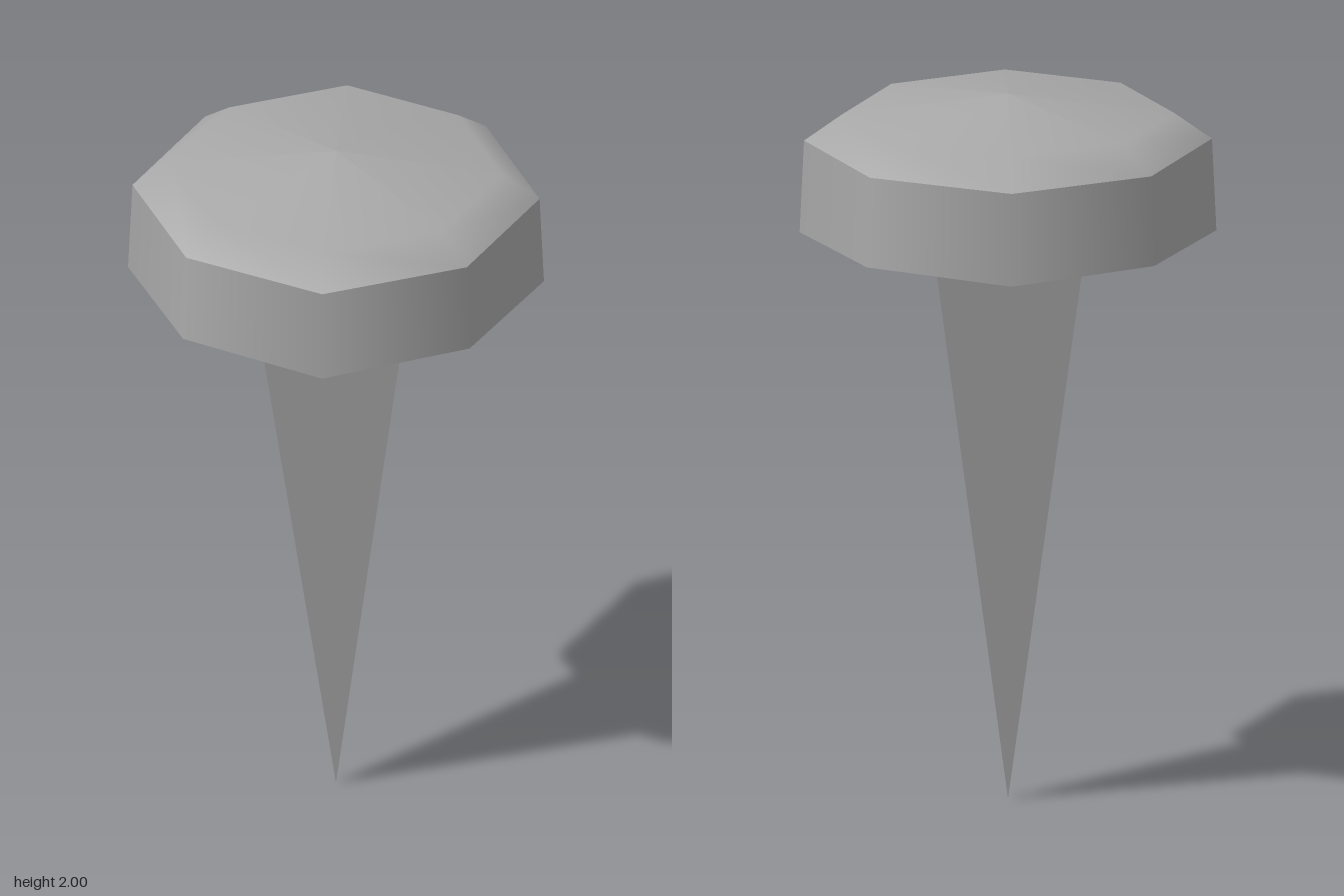
import * as THREE from 'three';

const steel = new THREE.MeshStandardMaterial({ color: 0xa8a8a8 });
steel.name = 'grey steel';

// Octagonal ring part turned from a profile of [radius, y] points, bottom to top
function turned(name, profile, flat = false) {
  let geo = new THREE.LatheGeometry(profile.map(([r, y]) => new THREE.Vector2(r, y)), 8);
  const p = geo.attributes.position;
  for (let i = 0; i < p.count; i++) {
    const x = p.getX(i), y = p.getY(i), z = p.getZ(i);
    // diagonal corners sit slightly further in, and higher along the lower rim
    if (Math.abs(x) > 0.05 && Math.abs(z) > 0.05) {
      p.setXYZ(i, x * 0.975, y < 1.7 ? y + 0.008 : y, z * 0.975);
    }
  }
  if (flat) {
    geo = geo.toNonIndexed();
    geo.computeVertexNormals();
  }
  const mesh = new THREE.Mesh(geo, steel);
  mesh.name = name;
  return mesh;
}

export function createModel() {
  const model = new THREE.Group();
  model.name = 'nail';

  // Head: shallow underside, near-vertical wall, bevelled crown
  const head = new THREE.Group();
  head.name = 'head';
  head.add(
    turned('headUnderside', [[0, 1.577], [0.57, 1.61]], true),
    turned('headWall', [[0.57, 1.61], [0.558, 1.87]]),
    turned('headCrown', [[0.558, 1.87], [0.455, 1.943], [0, 2]])
  );
  model.add(head);

  // Spike: square pyramid, point down
  const height = 1.61;
  let spikeGeo = new THREE.CylinderGeometry(0.207 * Math.SQRT2, 0, height, 4, 1, true);
  spikeGeo.rotateY(Math.PI / 4);
  spikeGeo.translate(0, height / 2, 0);
  spikeGeo = spikeGeo.toNonIndexed();
  spikeGeo.computeVertexNormals();
  const spike = new THREE.Mesh(spikeGeo, steel);
  spike.name = 'spike';
  model.add(spike);

  return model;
}
